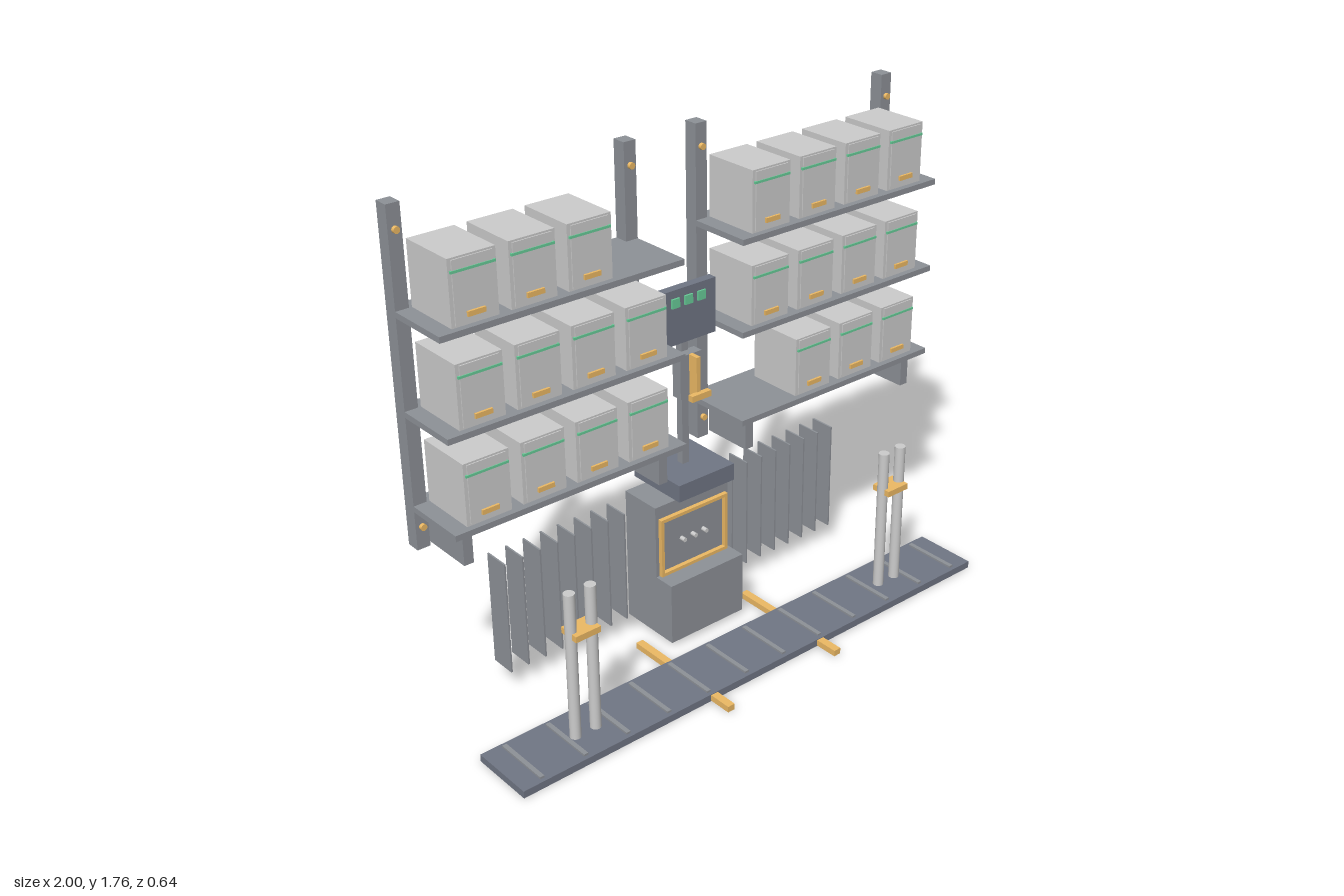
import * as THREE from 'three';

const mat = (color) => new THREE.MeshStandardMaterial({ color });
const LIGHT = mat(0xcccccc), STEEL = mat(0x8d9197), SLATE = mat(0x707684),
  GOLD = mat(0xecb964), GREEN = mat(0x68cc98);

function add(parent, name, geometry, material, x = 0, y = 0, z = 0) {
  const mesh = new THREE.Mesh(geometry, material);
  mesh.name = name;
  mesh.position.set(x, y, z);
  parent.add(mesh);
  return mesh;
}

// Box given by its limits on each axis
function box(parent, name, material, x0, x1, y0, y1, z0, z1) {
  return add(parent, name, new THREE.BoxGeometry(x1 - x0, y1 - y0, z1 - z0), material,
    (x0 + x1) / 2, (y0 + y1) / 2, (z0 + z1) / 2);
}

function group(parent, name) {
  const g = new THREE.Group();
  g.name = name;
  parent.add(g);
  return g;
}

// Short round peg pointing to the front
function peg(parent, name, material, r, depth, x, y, z) {
  add(parent, name, new THREE.CylinderGeometry(r, r, depth, 16), material, x, y, z).rotation.x = Math.PI / 2;
}

// Storage bin with a label stripe and a pull, standing at height y
function makeBin(parent, x, y) {
  const bin = group(parent, 'storageBin');
  bin.position.set(x, y, 0);
  box(bin, 'binBody', LIGHT, -0.08, 0.08, 0, 0.21, -0.27, -0.062);
  box(bin, 'binFront', LIGHT, -0.068, 0.068, 0.006, 0.204, -0.063, -0.058);
  box(bin, 'binStripe', GREEN, -0.075, 0.075, 0.165, 0.173, -0.062, -0.055);
  box(bin, 'binPull', GOLD, -0.03, 0.03, 0.027, 0.043, -0.06, -0.05);
}

// Wall rack on one side; each row lists which slots hold a bin, inner slot first
function makeRack(root, side, rows) {
  const rack = group(root, side > 0 ? 'leftRack' : 'rightRack');
  for (const x of [0.143, 0.977]) {
    box(rack, 'upright', STEEL, side * x - 0.023, side * x + 0.023, 0.645, 1.763, -0.32, -0.27);
    for (const y of [0.722, 1.685]) peg(rack, 'uprightBolt', GOLD, 0.011, 0.016, side * x, y, -0.266);
  }
  for (const x of [0.187, 0.937])
    box(rack, 'shelfBracket', STEEL, side * x - 0.017, side * x + 0.017, 0.66, 0.78, -0.27, -0.08);
  rows.forEach((row, i) => {
    const y = 0.8 + 0.32 * i;
    box(rack, 'shelf', STEEL, side * 0.56 - 0.44, side * 0.56 + 0.44, y - 0.02, y, -0.319, -0.04);
    row.forEach((full, k) => full && makeBin(rack, side * (0.257 + 0.2025 * k), y));
  });
}

export function createModel() {
  const root = new THREE.Group();
  root.name = 'storageStation';

  // Floor track with cross ribs and two sliding rails
  const track = group(root, 'floorTrack');
  box(track, 'trackPlate', SLATE, -1, 1, 0, 0.026, 0, 0.235);
  for (let i = 0; i < 12; i++) {
    const x = -0.92 + (1.84 / 11) * i;
    box(track, 'trackRib', STEEL, x - 0.008, x + 0.008, 0.025, 0.033, 0.015, 0.22);
  }
  for (const x of [-0.24, 0.24]) box(track, 'floorRail', GOLD, x - 0.014, x + 0.014, 0.002, 0.024, -0.16, 0.32);

  // Paired posts with clamps, and the rows of hanging blades
  for (const s of [-1, 1]) {
    const pair = group(root, 'postPair');
    for (const x of [0.64, 0.72])
      add(pair, 'post', new THREE.CylinderGeometry(0.019, 0.019, 0.54, 24), LIGHT, s * x, 0.292, 0.12);
    box(pair, 'postClamp', GOLD, s * 0.68 - 0.048, s * 0.68 + 0.048, 0.403, 0.425, 0.082, 0.158);
    const blades = group(root, 'bladeRow');
    for (let i = 0; i < 8; i++) {
      const x = s * (0.24 + 0.0686 * i);
      box(blades, 'blade', STEEL, x - 0.003, x + 0.003, 0.085, 0.5, -0.32, -0.225);
    }
  }

  // Central cabinet with framed control panel
  const cabinet = group(root, 'cabinet');
  box(cabinet, 'cabinetBase', STEEL, -0.16, 0.16, 0.022, 0.25, -0.32, -0.08);
  box(cabinet, 'cabinetTop', STEEL, -0.16, 0.16, 0.25, 0.52, -0.32, -0.16);
  const rect = (path, w, h) => path.moveTo(-w, -h).lineTo(w, -h).lineTo(w, h).lineTo(-w, h).closePath();
  const frame = rect(new THREE.Shape(), 0.147, 0.111);
  frame.holes.push(rect(new THREE.Path(), 0.135, 0.099));
  add(cabinet, 'panelFrame', new THREE.ExtrudeGeometry(frame, { depth: 0.016, bevelEnabled: false }),
    GOLD, 0, 0.362, -0.16);
  for (const x of [-0.048, 0, 0.048]) peg(cabinet, 'panelKnob', LIGHT, 0.008, 0.022, x, 0.363, -0.15);

  // Mast with tray, display and lever
  const mast = group(root, 'mast');
  box(mast, 'mastPole', STEEL, -0.014, 0.014, 0.52, 1.26, -0.217, -0.19);
  box(mast, 'mastTray', SLATE, -0.12, 0.12, 0.563, 0.625, -0.32, -0.08);
  box(mast, 'display', SLATE, -0.11, 0.11, 1.088, 1.28, -0.195, -0.163);
  for (const x of [-0.06, -0.006, 0.048])
    box(mast, 'displayLamp', GREEN, x - 0.016, x + 0.016, 1.22, 1.252, -0.164, -0.156);
  box(mast, 'leverPlate', STEEL, -0.045, 0.045, 0.888, 1.042, -0.198, -0.158);
  box(mast, 'leverArm', GOLD, -0.008, 0.008, 0.9, 1.042, -0.16, -0.12);
  box(mast, 'leverGrip', GOLD, -0.04, 0.04, 0.896, 0.918, -0.124, -0.104);

  // Racks, bottom row first
  makeRack(root, -1, [[1, 1, 1, 1], [1, 1, 1, 1], [0, 1, 1, 1]]);
  makeRack(root, 1, [[0, 1, 1, 1], [1, 1, 1, 1], [1, 1, 1, 1]]);
  return root;
}
